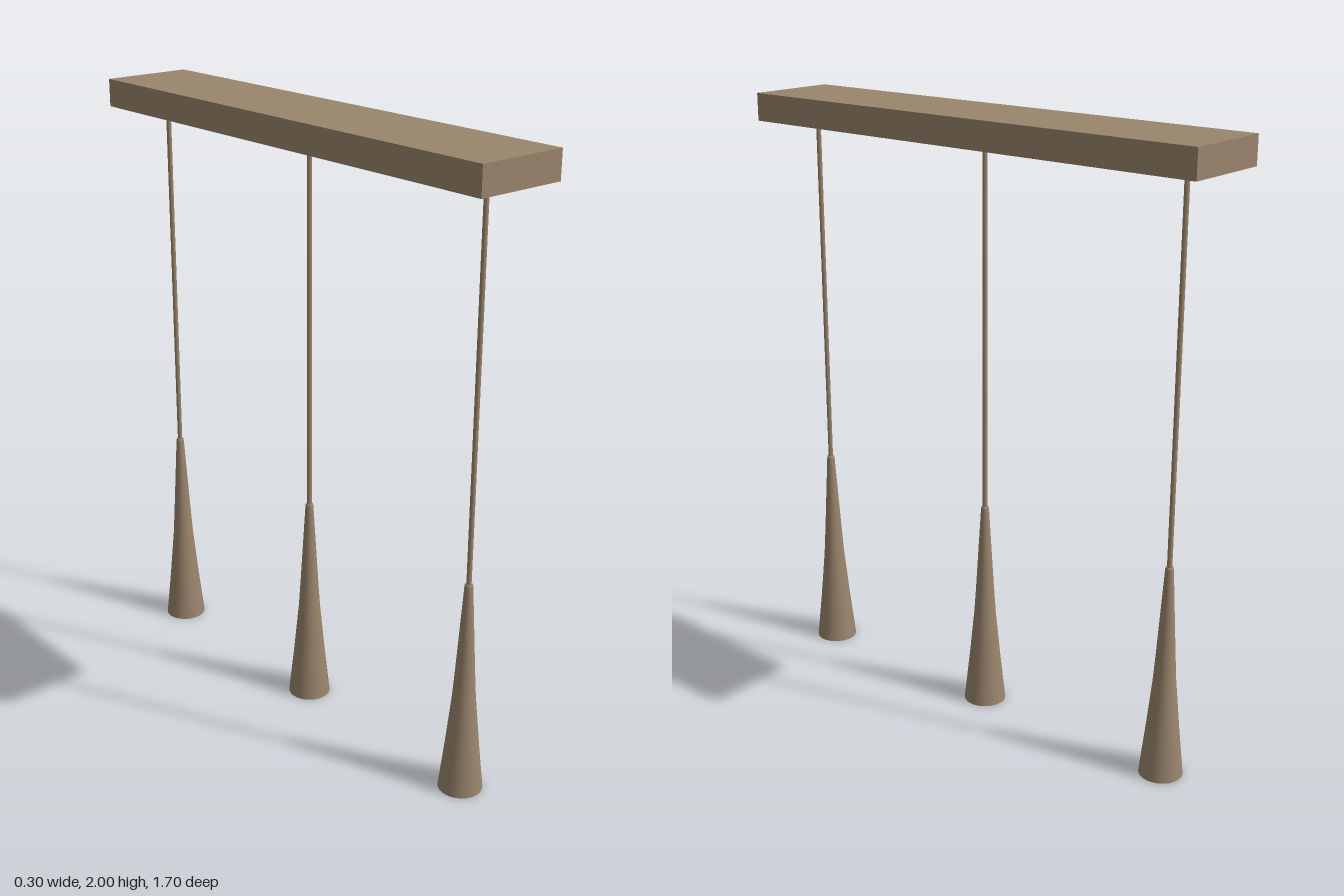
import * as THREE from 'three';

export function createModel() {
  const model = new THREE.Group();
  const bronze = new THREE.MeshStandardMaterial({ color: 0x9a856d, side: THREE.DoubleSide });
  bronze.name = 'bronze';

  const add = (parent, name, geometry, y) => {
    const mesh = new THREE.Mesh(geometry, bronze);
    mesh.name = name;
    mesh.position.y = y;
    parent.add(mesh);
  };

  // Ceiling plate
  add(model, 'ceilingPlate', new THREE.BoxGeometry(0.304, 0.09, 1.7), 1.955);

  // Hollow flared shade, open at the bottom
  const profile = [[0.07, 0], [0.052, 0.165], [0.036, 0.33], [0.03, 0.42], [0.013, 0.705]];
  const shade = new THREE.LatheGeometry(profile.map(([r, y]) => new THREE.Vector2(r, y)), 32);
  const cap = new THREE.CylinderGeometry(0.011, 0.013, 0.006, 32);
  const cord = new THREE.CylinderGeometry(0.008, 0.008, 1.21, 12);

  // Three pendants in a row
  for (const z of [0.735, 0.008, -0.719]) {
    const pendant = new THREE.Group();
    pendant.name = 'pendant';
    pendant.position.set(-0.009, 0, z);
    add(pendant, 'shade', shade, 0);
    add(pendant, 'shadeCap', cap, 0.708);
    add(pendant, 'cord', cord, 1.31);
    model.add(pendant);
  }
  return model;
}
